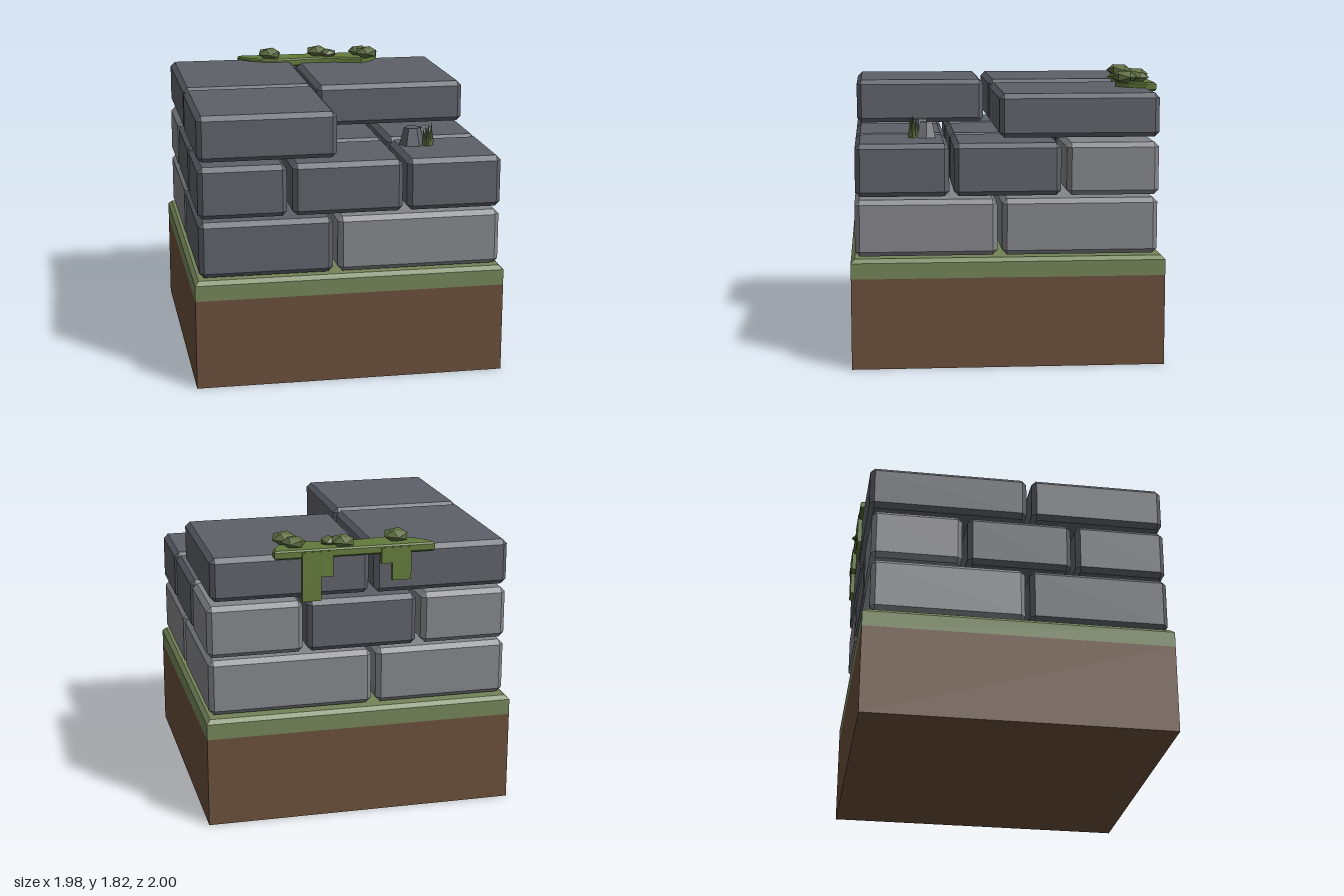
import * as THREE from 'three';
import { ConvexGeometry } from 'three/addons/geometries/ConvexGeometry.js';

const material = (color) => new THREE.MeshStandardMaterial({ color, flatShading: true });
const darkStone = material(0x5d6068);
const lightStone = material(0x84858a);
const dirt = material(0x694e3a);
const turf = material(0x748458);
const moss = material(0x627a3a);
const leaf = material(0x5c6b40);

export function createModel() {
  const model = new THREE.Group();

  function add(parent, name, geometry, mat, x = 0, y = 0, z = 0) {
    const mesh = new THREE.Mesh(geometry, mat);
    mesh.name = name;
    mesh.position.set(x, y, z);
    parent.add(mesh);
    return mesh;
  }

  function group(name) {
    const g = new THREE.Group();
    g.name = name;
    model.add(g);
    return g;
  }

  // Box with every edge and corner cut flat
  function chamferedBox(w, h, d, b) {
    const points = [];
    for (const sx of [-1, 1]) for (const sy of [-1, 1]) for (const sz of [-1, 1]) {
      for (let axis = 0; axis < 3; axis++) {
        const inset = [0, 1, 2].map((i) => (i === axis ? 0 : b));
        points.push(new THREE.Vector3(
          sx * (w / 2 - inset[0]), sy * (h / 2 - inset[1]), sz * (d / 2 - inset[2])));
      }
    }
    return new ConvexGeometry(points);
  }

  // Brick given by its limits on each axis
  function brick(parent, name, [x0, x1], [y0, y1], [z0, z1], mat) {
    add(parent, name, chamferedBox(x1 - x0, y1 - y0, z1 - z0, 0.03), mat,
      (x0 + x1) / 2, (y0 + y1) / 2, (z0 + z1) / 2);
  }

  // Ground block: dirt below, turf with a bevelled rim above
  const ground = group('ground');
  add(ground, 'dirt', new THREE.BoxGeometry(1.975, 0.575, 1.975), dirt, 0, 0.2875, 0.01);
  const rim = [];
  for (const [y, half] of [[0.575, 0.9875], [0.675, 0.9875], [0.7, 0.962]]) {
    for (const sx of [-1, 1]) for (const sz of [-1, 1]) rim.push(new THREE.Vector3(sx * half, y, sz * half));
  }
  add(ground, 'turf', new ConvexGeometry(rim), turf, 0, 0, 0.01);

  // Bottom course: two by two
  const bottom = group('bottomCourse');
  const bottomX = [[-0.955, -0.11], [-0.08, 0.96]];
  const bottomZ = [[-0.93, 0.05], [0.08, 0.97]];
  bottomX.forEach((x, i) => bottomZ.forEach((z, j) => {
    brick(bottom, 'bottomBrick', x, [0.71, 1.065], z, i === 0 && j === 1 ? darkStone : lightStone);
  }));

  // Middle course: three by three, light at the two back corners
  const middle = group('middleCourse');
  const middleX = [[-0.955, -0.4], [-0.365, 0.335], [0.362, 0.965]];
  const middleZ = [[-0.935, -0.355], [-0.32, 0.35], [0.38, 0.965]];
  middleX.forEach((x, i) => middleZ.forEach((z, j) => {
    brick(middle, 'middleBrick', x, [1.085, 1.415], z, j === 0 && i !== 1 ? lightStone : darkStone);
  }));

  // Top course: one corner is missing
  const top = group('topCourse');
  brick(top, 'topBrickBackRight', [-0.95, -0.085], [1.445, 1.735], [-0.955, 0.065], darkStone);
  brick(top, 'topBrickBackLeft', [-0.055, 0.94], [1.445, 1.72], [-0.94, 0.065], darkStone);
  brick(top, 'topBrickFrontRight', [-0.955, -0.085], [1.445, 1.735], [0.098, 0.96], darkStone);

  // Moss sheet along the back edge
  const mossPatch = group('mossPatch');
  const outline = [
    [-0.45, -0.97], [-0.45, -0.93], [-0.38, -0.855], [-0.3, -0.805], [-0.19, -0.78], [-0.05, -0.8],
    [0.1, -0.815], [0.22, -0.8], [0.32, -0.77], [0.4, -0.745], [0.49, -0.815], [0.54, -0.92], [0.54, -0.97],
  ].map(([x, z]) => new THREE.Vector2(x, -z));
  const sheet = new THREE.ExtrudeGeometry(new THREE.Shape(outline), {
    depth: 0.036, bevelThickness: 0.01, bevelSize: 0.01, bevelSegments: 1,
  });
  sheet.rotateX(-Math.PI / 2);
  add(mossPatch, 'mossSheet', sheet, moss, 0, 1.71, 0);

  // Strips hanging down the back: x limits and lower end
  for (const [x0, x1, end] of [[0.26, 0.38, 1.43], [0.185, 0.26, 1.58], [-0.31, -0.19, 1.53], [-0.19, -0.12, 1.64]]) {
    add(mossPatch, 'hangingMoss', new THREE.BoxGeometry(x1 - x0, 1.74 - end, 0.028), moss,
      (x0 + x1) / 2, (1.74 + end) / 2, -0.97);
  }

  // Faceted moss clumps: x, z, radius, height of centre
  for (const [x, z, r, y] of [
    [-0.245, -0.855, 0.088, 1.785], [0.11, -0.915, 0.083, 1.783], [0.185, -0.865, 0.062, 1.775],
    [0.41, -0.88, 0.078, 1.783], [0.45, -0.785, 0.088, 1.787],
  ]) {
    const clump = add(mossPatch, 'mossClump', new THREE.IcosahedronGeometry(r, 0), leaf, x, y, z);
    clump.scale.y = 0.5;
    clump.rotation.y = x * 9;
  }

  // Small stones on the exposed brick
  const debris = group('debris');
  add(debris, 'darkPebble', new THREE.CylinderGeometry(0.052, 0.086, 0.125, 6), darkStone, 0.48, 1.465, 0.55)
    .rotation.y = 0.4;
  add(debris, 'lightPebble', new THREE.CylinderGeometry(0.04, 0.065, 0.115, 5), lightStone, 0.575, 1.46, 0.51)
    .rotation.y = 0.3;

  // Grass blades: x, z, height, lean
  for (const [x, z, h, lean] of [
    [0.55, 0.6, 0.12, 0.12], [0.575, 0.61, 0.15, 0.03], [0.595, 0.595, 0.16, -0.06], [0.57, 0.575, 0.13, 0.08],
  ]) {
    add(debris, 'grassBlade', new THREE.ConeGeometry(0.02, h, 4), leaf, x, 1.405 + h / 2, z).rotation.z = lean;
  }

  return model;
}
